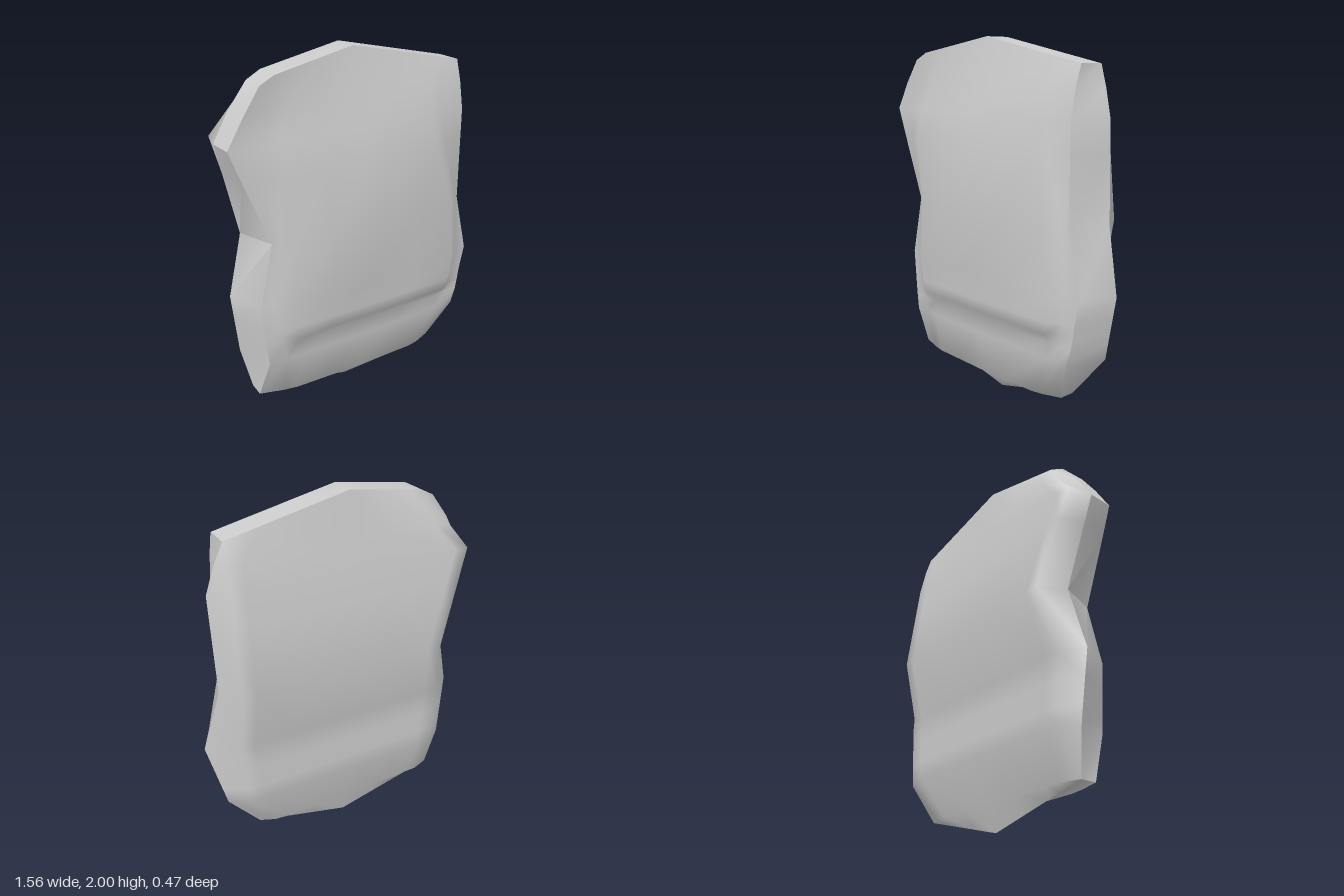
import * as THREE from 'three';
import { toCreasedNormals } from 'three/addons/utils/BufferGeometryUtils.js';

// Piecewise-linear lookup: keys are rows whose first entry is the position
function sample(keys, v) {
  if (v <= keys[0][0]) return keys[0];
  for (let i = 1; i < keys.length; i++) {
    const a = keys[i - 1], b = keys[i];
    if (v <= b[0]) {
      const t = (v - a[0]) / (b[0] - a[0]);
      return a.map((n, k) => n + (b[k] - n) * t);
    }
  }
  return keys[keys.length - 1];
}

// Surface through rows of points
function loft(rows, flip) {
  const n = rows[0].length, index = [];
  for (let i = 0; i < rows.length - 1; i++) {
    for (let j = 0; j < n - 1; j++) {
      const a = i * n + j, b = a + 1, c = b + n, d = a + n;
      index.push(...(flip ? [a, c, b, a, d, c] : [a, b, c, a, c, d]));
    }
  }
  const g = new THREE.BufferGeometry();
  g.setAttribute('position', new THREE.Float32BufferAttribute(rows.flat(2), 3));
  g.setIndex(index);
  g.computeVertexNormals();
  return g;
}

// Nine columns: edge, panel border, panel inset, quarter, centre, and back out
function columns(xL, pL, pR, xR) {
  const iL = pL + 0.08, iR = pR - 0.07, c = -0.05;
  return [xL, pL, iL, (iL + c) / 2, c, (iR + c) / 2, iR, pR, xR];
}

// Front: y, left x, right x, panel left, panel right, z left, z right, z border, z inset, z centre
const FRONT = [
  [0.14, -0.65, 0.50, -0.52, 0.40, 0.02, 0.02, 0.06, 0.075, 0.085],
  [0.38, -0.62, 0.61, -0.52, 0.55, 0.11, 0.11, 0.115, 0.115, 0.118],
  [0.47, -0.63, 0.64, -0.53, 0.57, 0.11, 0.11, 0.115, 0.115, 0.118],
  [0.53, -0.635, 0.65, -0.55, 0.58, 0.11, 0.11, 0.12, 0.165, 0.17],
  [0.60, -0.64, 0.66, -0.56, 0.59, 0.11, 0.11, 0.12, 0.175, 0.18],
  [0.74, -0.65, 0.69, -0.58, 0.61, 0.11, 0.11, 0.12, 0.175, 0.185],
  [1.08, -0.57, 0.61, -0.54, 0.58, 0.11, 0.11, 0.13, 0.185, 0.232],
  [1.44, -0.71, 0.61, -0.60, 0.48, 0.11, 0.11, 0.14, 0.165, 0.185],
  [1.60, -0.77, 0.61, -0.60, 0.45, 0.11, 0.11, 0.125, 0.135, 0.145],
  [1.75, -0.68, 0.61, -0.53, 0.45, 0.11, 0.08, 0.10, 0.105, 0.108],
];

// Back: y, left x, right x, inner left, inner right, z left, z right, z of the flat middle
const BACK = [
  [0.14, -0.65, 0.50, -0.55, 0.42, -0.07, -0.07, -0.105],
  [0.38, -0.70, 0.69, -0.60, 0.58, -0.10, -0.10, -0.165],
  [0.74, -0.74, 0.78, -0.62, 0.61, -0.08, -0.06, -0.157],
  [1.08, -0.65, 0.69, -0.57, 0.61, -0.10, -0.10, -0.235],
  [1.60, -0.78, 0.70, -0.75, 0.61, -0.03, -0.07, -0.167],
  [1.75, -0.69, 0.655, -0.63, 0.60, -0.04, -0.085, -0.138],
];

// Crest: x, y, front z, back z
const CREST = [
  [-0.59, 1.88, 0.105, -0.04], [-0.51, 1.92, 0.10, -0.05],
  [-0.05, 2, 0.045, -0.10], [0.61, 1.86, 0.045, -0.10],
];
// Foot: x, y
const FOOT = [[-0.65, 0.14], [-0.05, 0], [0.5, 0.14]];

export function createModel() {
  const group = new THREE.Group();
  group.name = 'stoneSlab';
  const material = new THREE.MeshStandardMaterial({ color: 0xcccccc, roughness: 0.9 });

  const foot = columns(-0.65, -0.52, 0.40, 0.50).map(x => [x, sample(FOOT, x)[1], -0.07]);
  const crest = side => columns(-0.59, -0.51, 0.50, 0.61).map(x => {
    const k = sample(CREST, x);
    return [x, k[1], k[side]];
  });

  const frontRows = [foot], backRows = [foot];
  for (const [y, xL, xR, pL, pR, zL, zR, zP, zI, zC] of FRONT) {
    const zQ = (zI + zC) / 2;
    const zs = [zL, zP, zI, zQ, zC, zQ, zI, zP, zR];
    frontRows.push(columns(xL, pL, pR, xR).map((x, j) => [x, y, zs[j]]));

    const [, bL, bR, iL, iR, wL, wR, zB] = sample(BACK, y);
    backRows.push(columns(bL, iL, iR, bR).map((x, j) => [x, y, j === 0 ? wL : j === 8 ? wR : zB]));
  }
  frontRows.push(crest(2));
  backRows.push(crest(3));

  // Rim runs up the right edge, over the crest and down the left edge
  const border = rows => [
    ...rows.map(r => r[8]),
    ...rows[rows.length - 1].slice(0, 8).reverse(),
    ...rows.slice(0, -1).reverse().map(r => r[0]),
  ];
  const rim = toCreasedNormals(loft([border(frontRows), border(backRows)], true), 0.6);

  const parts = {
    frontFace: loft(frontRows, false),
    backFace: loft(backRows, true),
    rim,
  };
  for (const [name, geometry] of Object.entries(parts)) {
    const mesh = new THREE.Mesh(geometry, material);
    mesh.name = name;
    group.add(mesh);
  }
  return group;
}
